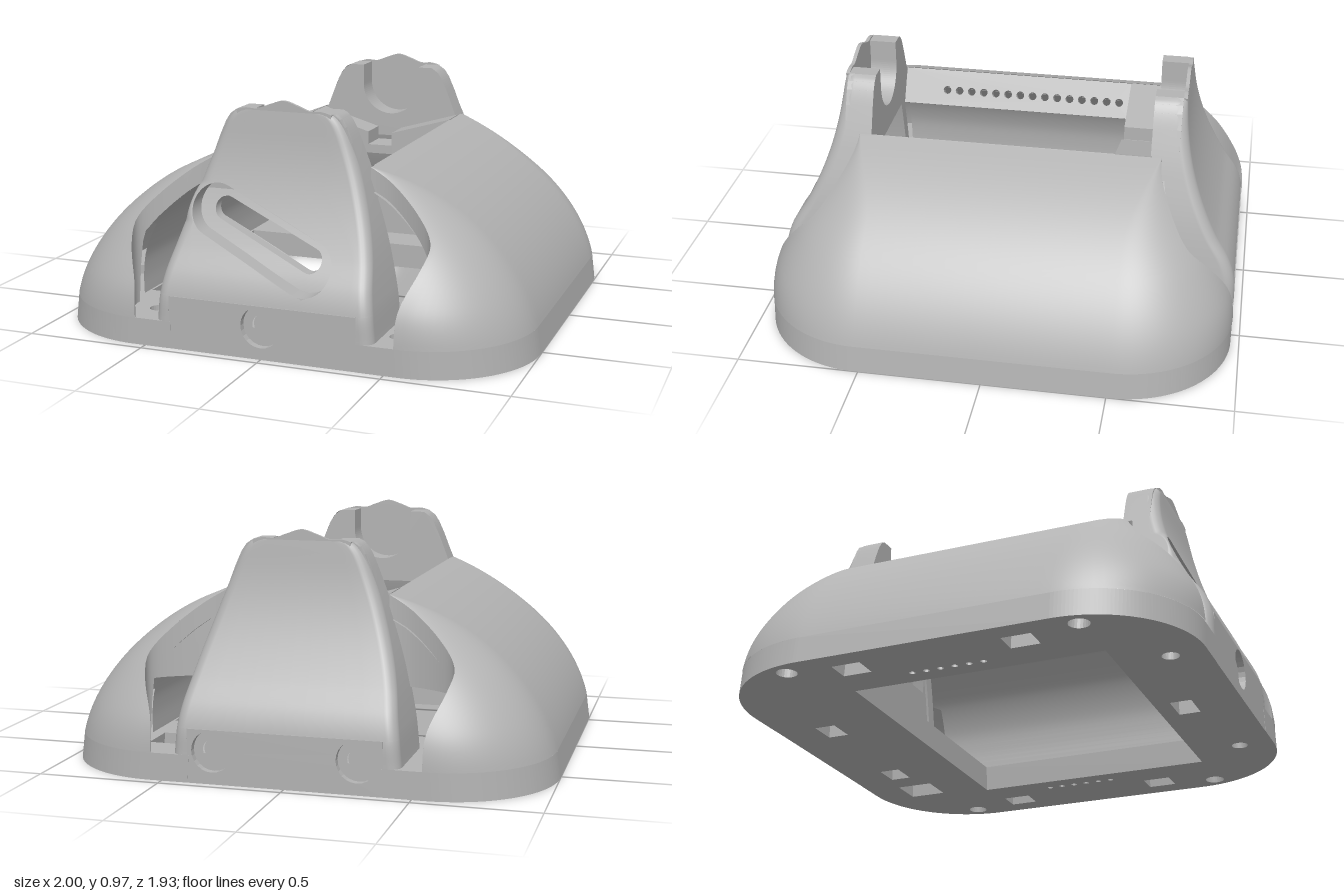
import * as THREE from 'three';

const grey = new THREE.MeshStandardMaterial({ color: 0xb3b3b3, side: THREE.DoubleSide });
grey.name = 'matte grey';

const lerp = THREE.MathUtils.lerp, clamp = THREE.MathUtils.clamp;

// Smooth interpolation through [key, value] pairs
function curve(pts) {
  const n = pts.length - 1;
  const slope = pts.map((p, i) => {
    const a = pts[Math.max(i - 1, 0)], b = pts[Math.min(i + 1, n)];
    return (b[1] - a[1]) / (b[0] - a[0]);
  });
  return (y) => {
    y = clamp(y, pts[0][0], pts[n][0]);
    let i = 0;
    while (i < n - 1 && y > pts[i + 1][0]) i++;
    const [x0, a] = pts[i], [x1, b] = pts[i + 1], h = x1 - x0, t = (y - x0) / h, t2 = t * t, t3 = t2 * t;
    return a * (2 * t3 - 3 * t2 + 1) + b * (3 * t2 - 2 * t3) + h * (slope[i] * (t3 - 2 * t2 + t) + slope[i + 1] * (t3 - t2));
  };
}

// Profiles by height
const shellDepth = curve([[0, .965], [.15, .965], [.25, .945], [.4, .875], [.47, .83], [.56, .76], [.65, .69], [.72, .64]]);
const shellCut = curve([[.11, .54], [.25, .55], [.4, .61], [.47, .62], [.56, .55], [.66, .43], [.72, .33]]);
const shellBore = curve([[.1, .66], [.2, .66], [.3, .645], [.42, .59], [.5, .52], [.59, .41], [.64, .31]]);
const towerFace = curve([[0, .965], [.12, .965], [.215, .96], [.3, .932], [.4, .87], [.5, .82], [.6, .78], [.7, .75], [.8, .73], [.93, .715]]);
const towerHalf = curve([[.11, .455], [.25, .44], [.45, .4], [.65, .34], [.8, .285], [.88, .25], [.92, .22], [.93, .2]]);
const shellWidth = (y) => Math.pow(1 - Math.pow(y / .776, 1.85), 1 / 1.85);
// Height of the bore's ceiling by x
const boreHeight = curve([[.31, .64], [.41, .59], [.52, .5], [.59, .42], [.61, .36], [.625, .11]]);

function add(parent, name, geo) {
  const m = new THREE.Mesh(geo, grey);
  m.name = name;
  parent.add(m);
  return m;
}

// Grid surface from a rule f(u, v) -> [x, y, z]
function sheet(nu, nv, f) {
  const pos = [], idx = [];
  for (let i = 0; i <= nu; i++) for (let j = 0; j <= nv; j++) pos.push(...f(i / nu, j / nv));
  for (let i = 0; i < nu; i++) for (let j = 0; j < nv; j++) {
    const a = i * (nv + 1) + j, b = a + nv + 1;
    idx.push(a, b, a + 1, b, b + 1, a + 1);
  }
  const g = new THREE.BufferGeometry();
  g.setAttribute('position', new THREE.Float32BufferAttribute(pos, 3));
  g.setIndex(idx);
  g.computeVertexNormals();
  return g;
}

const polygon = (pts) => new THREE.Shape(pts.map((p) => new THREE.Vector2(...p)));
const circle = (x, y, r, n = 24) => polygon(Array.from({ length: n }, (_, i) =>
  [x + r * Math.cos(i / n * 2 * Math.PI), y + r * Math.sin(i / n * 2 * Math.PI)]));
const rect = (x0, y0, x1, y1) => polygon([[x0, y0], [x1, y0], [x1, y1], [x0, y1]]);
const extrude = (s, depth) => new THREE.ExtrudeGeometry(s, { depth, bevelEnabled: false, curveSegments: 24 });

// Tilted slot outline: row interval and boundary
function stadium(ax, ay, bx, by, r) {
  const ang = Math.atan2(by - ay, bx - ax);
  const loop = Array.from({ length: 82 }, (_, i) => {
    const end = i < 41;
    const a = ang + (end ? -Math.PI / 2 : Math.PI / 2) + (i % 41) / 40 * Math.PI;
    return [(end ? bx : ax) + r * Math.cos(a), (end ? by : ay) + r * Math.sin(a)];
  });
  const row = (y) => {
    const above = lerp(ax, 0, clamp((y - ay - r) / .12, 0, 1));
    if (y >= ay + r) return [above, above];
    if (y <= by - r) return [bx, bx];
    const xs = [];
    loop.forEach((p, i) => {
      const q = loop[(i + 1) % loop.length];
      if ((p[1] - y) * (q[1] - y) <= 0 && p[1] !== q[1]) xs.push(lerp(p[0], q[0], (y - p[1]) / (q[1] - p[1])));
    });
    return xs.length ? [Math.min(...xs), Math.max(...xs)] : [above, above];
  };
  return { loop, row, low: by - r, high: ay + r };
}

function makeBase(parent) {
  // Outline with shallow notches where the end plates sit
  const s = new THREE.Shape(), X = 1, Z = .965, R = .45, n = .39, d = .915;
  s.moveTo(n, -Z); s.lineTo(X - R, -Z);
  s.absarc(X - R, -Z + R, R, -Math.PI / 2, 0); s.absarc(X - R, Z - R, R, 0, Math.PI / 2);
  s.lineTo(n, Z); s.lineTo(n, d); s.lineTo(-n, d); s.lineTo(-n, Z);
  s.absarc(-X + R, Z - R, R, Math.PI / 2, Math.PI); s.absarc(-X + R, -Z + R, R, Math.PI, Math.PI * 1.5);
  s.lineTo(-n, -Z); s.lineTo(-n, -d); s.lineTo(n, -d); s.closePath();
  // Shape y becomes model -z
  s.holes.push(rect(-.66, -.61, .66, .44), rect(.47, .65, .62, .81), rect(-.07, -.77, .07, -.68));
  for (const x of [-1, 1]) {
    s.holes.push(circle(x * .52, -.82, .035), rect(x * .3 - .06, .7, x * .3 + .06, .79));
    for (const z of [-1, 1]) {
      s.holes.push(circle(x * .92, z * .6, .042), rect(x * .86 - .05, z * .35 - .06, x * .86 + .05, z * .35 + .06));
    }
    for (let i = 0; i < 6; i++) s.holes.push(circle(x * .74, -.15 + i * .06, .013, 8));
  }
  const g = extrude(s, .11);
  g.rotateX(-Math.PI / 2);
  const p = g.attributes.position;
  for (let i = 0; i < p.count; i++) if (p.getY(i) > .1) p.setX(i, p.getX(i) * shellWidth(.11));
  g.computeVertexNormals();
  add(parent, 'basePlate', g);
}

// Side shell point: u runs from the back cut (-1) to the front cut (1)
function shellPoint(y, u) {
  const X = shellWidth(y), Z = shellDepth(y), rx = .45 * X, cx = X - rx;
  const k = clamp((y - .5) / .22, 0, 1), cz = .515 + .115 * k * k;
  const a = Math.abs(u), s = Math.sign(u);
  if (a < .4) return [X, y, s * cz * a / .4];
  const t = Math.acos(clamp((shellCut(y) - cx) / rx, -1, 1)) * (a - .4) / .6;
  return [cx + rx * Math.cos(t), y, s * (cz + (Z - cz) * Math.sin(t))];
}

function makeSide() {
  const g = new THREE.Group();
  add(g, 'shellOuter', sheet(60, 32, (u, v) => shellPoint(lerp(.11, .719, v), u * 2 - 1)));
  add(g, 'shellBore', sheet(24, 1, (u, v) => {
    const y = lerp(.1, .64, u), end = y < .42 ? .66 : lerp(.72, .64, (y - .42) / .22);
    return [shellBore(y), y, lerp(-end, end, v)];
  }));
  for (const e of [-1, 1]) {
    // Upright pocket wall beside the tower, from the outer skin down to the bore or floor
    add(g, 'pocketWall', sheet(48, 4, (u, v) => {
      const [x, y, z] = shellPoint(lerp(.11, .719, u), e);
      const low = y < .47 ? .11 : e < 0 ? Math.min(.36, boreHeight(x)) : boreHeight(x);
      return [x, lerp(y, Math.min(low, y), v), z];
    }));
  }

  // Sloping perforated rail along the opening
  const rail = rect(-.44, 0, .585, .159);
  for (let i = 0; i < 15; i++) rail.holes.push(circle(-.392 + i * .056, .09, .018, 12));
  const rg = extrude(rail, .04);
  const m = new THREE.Matrix4().makeBasis(new THREE.Vector3(0, 0, 1), new THREE.Vector3(-.472, -.88, 0), new THREE.Vector3(.88, -.472, 0));
  rg.applyMatrix4(m.setPosition(.33, .719, 0));
  add(g, 'perforatedRail', rg);
  return g;
}

function makeTower(slotted, holeXs) {
  const g = new THREE.Group();
  const outer = stadium(-.255, .54, .165, .36, .1), inner = stadium(-.245, .53, .15, .37, .045);
  const none = () => [0, 0];
  const back = (y) => (y < .6 ? .62 : .585);
  const recess = .08, thick = .13;

  // Face, rounded corner and side wall in one sweep
  const wall = (s, y0, y1, hole, sideInset, faceInset, round) => sheet(90, 12, (u, v) => {
    const y = lerp(y0, y1, u), j = Math.round(v * 12), w = towerHalf(y) - sideInset, z = towerFace(y) - faceInset;
    const start = hole(y)[s > 0 ? 1 : 0], r = clamp(w - s * start - .005, .004, round);
    if (j < 5) return [lerp(start, s * (w - r), j / 5), y, z];
    if (j > 11) return [s * w, y, back(y)];
    const a = (j - 5) / 6 * Math.PI / 2;
    return [s * (w - r + r * Math.sin(a)), y, z - r + r * Math.cos(a)];
  });
  for (const s of [-1, 1]) {
    add(g, 'towerFace', wall(s, .215, .93, slotted ? outer.row : none, 0, 0, .045));
    add(g, 'towerFoot', wall(s, .11, .215, () => [-.39, .39], 0, 0, .045));
    add(g, 'towerInside', wall(s, .215, .6, slotted ? inner.row : none, .055, thick, .02));
    add(g, 'towerWallEdge', sheet(30, 1, (u, v) => {
      const y = lerp(.11, .6, u);
      return [s * (towerHalf(y) - .055 * v), y, .62];
    }));
    if (slotted) add(g, 'slotRecess', sheet(60, 1, (u, v) => {
      const y = lerp(outer.low, outer.high, u), [a, b] = outer.row(y), k = s > 0 ? 1 : 0;
      return [lerp(clamp(inner.row(y)[k], a, b), [a, b][k], v), y, towerFace(y) - recess];
    }));
  }
  if (slotted) for (const [st, d0, d1] of [[outer, 0, recess], [inner, recess, thick]]) {
    add(g, 'slotWall', sheet(82, 1, (u, v) => {
      const [x, y] = st.loop[Math.round(u * 82) % 82];
      return [x, y, towerFace(y) - lerp(d0, d1, v)];
    }));
  }

  // Foot plate with counterbored screw holes
  const foot = rect(-.39, 0, .39, .215);
  holeXs.forEach((x) => foot.holes.push(circle(x, .13, .083)));
  add(g, 'footPlate', extrude(foot, .05)).position.z = .914;
  for (const x of holeXs) {
    add(g, 'screwSeat', new THREE.RingGeometry(.045, .085, 28)).position.set(x, .13, .935);
    add(g, 'screwHoleEnd', new THREE.CircleGeometry(.046, 24)).position.set(x, .13, .917);
  }

  // Head block with a round cradle
  const ys = [.6, .68, .76, .82, .88, .91, .93], head = new THREE.Shape();
  head.moveTo(-towerHalf(.6), .6);
  ys.forEach((y) => head.lineTo(towerHalf(y), y));
  head.lineTo(.135, .93); head.lineTo(.135, .84);
  head.absarc(0, .84, .135, 0, Math.PI, true);
  head.lineTo(-.135, .93);
  [...ys].reverse().forEach((y) => head.lineTo(-towerHalf(y), y));
  add(g, 'headBlock', extrude(head, .115)).position.z = .585;

  // Thin crest with a wavy top
  const crest = polygon([[-.135, .68], [.135, .68], [.2, .928]]);
  crest.splineThru([[.16, .938], [.11, .937], [.06, .955], [0, .972], [-.06, .955], [-.11, .937], [-.16, .938], [-.2, .928]].map((p) => new THREE.Vector2(...p)));
  add(g, 'crest', extrude(crest, .015)).position.z = .7;
  return g;
}

export function createModel() {
  const model = new THREE.Group();
  model.name = 'housing';
  makeBase(model);
  for (const s of [1, -1]) {
    const side = makeSide();
    side.name = s > 0 ? 'leftShell' : 'rightShell';
    side.scale.x = s;
    model.add(side);
  }
  const front = makeTower(true, [0]), rear = makeTower(false, [-.29, .29]);
  front.name = 'frontTower';
  rear.name = 'rearTower';
  rear.rotation.y = Math.PI;
  model.add(front, rear);

  // Shelf in front of the rear tower, sloping to a central channel
  const shelf = polygon([[-.33, .72], [-.06, .64], [-.06, .58], [.055, .58], [.055, .64], [.33, .72], [.33, .6], [.055, .54], [-.06, .54], [-.33, .6]]);
  add(model, 'rearShelf', extrude(shelf, .15)).position.z = -.59;

  // Low inner walls and a round boss
  add(model, 'frontInnerWall', new THREE.BoxGeometry(.8, .1, .05)).position.set(0, .15, .637);
  add(model, 'rearInnerWall', new THREE.BoxGeometry(.78, .3, .04)).position.set(0, .25, -.65);
  const boss = add(model, 'boss', new THREE.CylinderGeometry(.09, .09, .06, 28));
  boss.rotation.x = Math.PI / 2;
  boss.position.set(-.2, .16, .615);
  return model;
}
